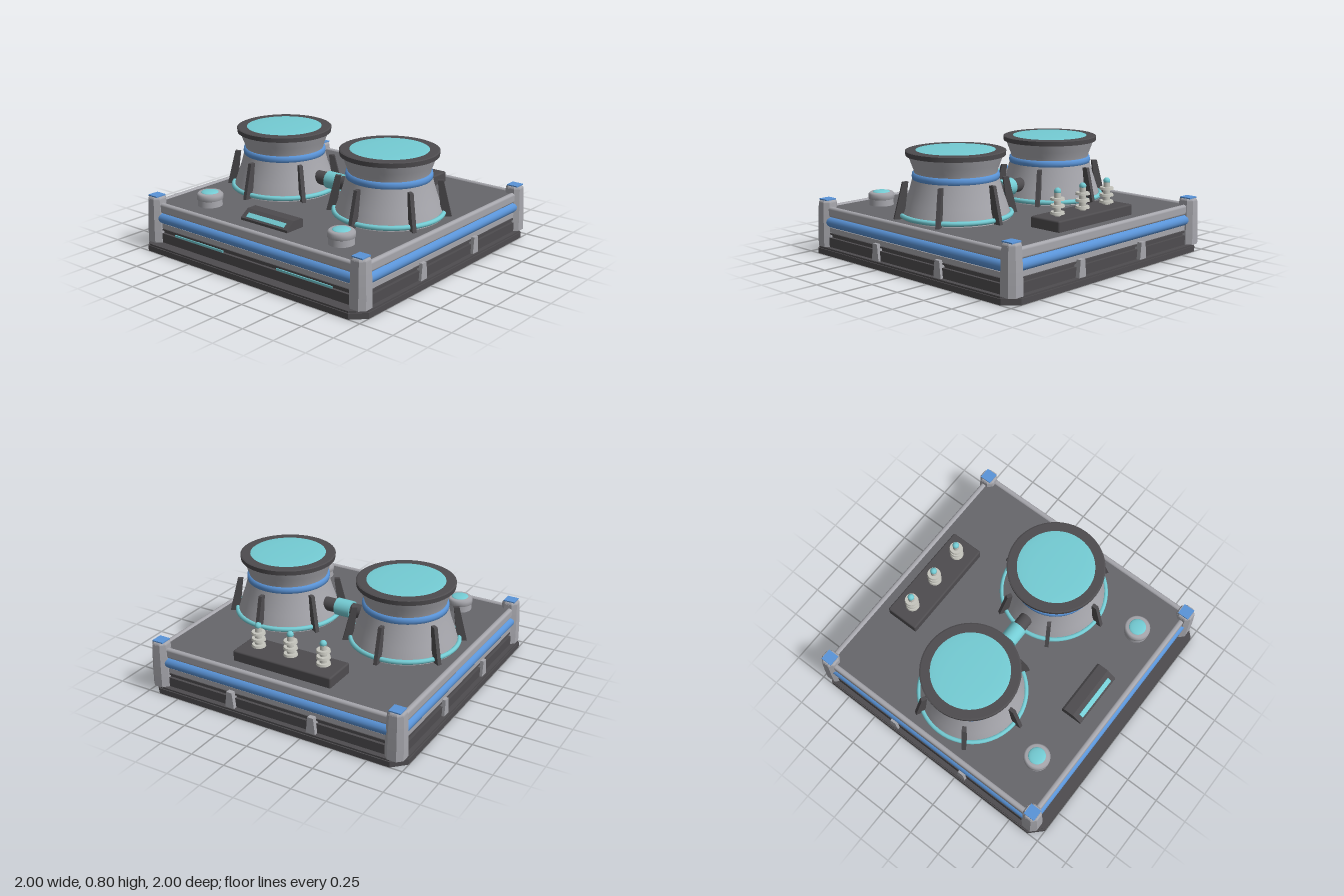
import * as THREE from 'three';
import { RoundedBoxGeometry } from 'three/addons/geometries/RoundedBoxGeometry.js';

const material = (name, color) => {
  const m = new THREE.MeshStandardMaterial({ color });
  m.name = name;
  return m;
};

export function createModel() {
  const dark = material('darkMetal', 0x4e4c4f);
  const deckGrey = material('deckGrey', 0x66666b);
  const light = material('lightMetal', 0xa6a6ac);
  const blue = material('blueBand', 0x5a94d8);
  const cyan = material('cyanGlow', 0x74ccd4);
  const ceramic = material('ceramic', 0xc6c6be);

  const root = new THREE.Group();
  const DECK = 0.33, ZC = -0.02;

  const add = (parent, name, geo, mat, x = 0, y = 0, z = 0) => {
    const m = new THREE.Mesh(geo, mat);
    m.name = name;
    m.position.set(x, y, z);
    parent.add(m);
    return m;
  };
  const group = (name, x = 0, y = 0, z = 0) => {
    const g = new THREE.Group();
    g.name = name;
    g.position.set(x, y, z);
    root.add(g);
    return g;
  };
  const box = (w, h, d) => new THREE.BoxGeometry(w, h, d);
  const cyl = (r1, r2, h, n = 32) => new THREE.CylinderGeometry(r1, r2, h, n);
  const lathe = (pts, n = 48) => new THREE.LatheGeometry(pts.map(p => new THREE.Vector2(...p)), n);
  // shallow dome standing on y = 0
  const dome = (r, h) => new THREE.SphereGeometry(r, 40, 10, 0, Math.PI * 2, 0, Math.PI / 2).scale(1, h / r, 1);

  // upright prism with cut corners; the top may be scaled for a taper
  const prism = (w, d, h, cut, taper = 1) => {
    const a = w / 2, b = d / 2, c = cut;
    const s = new THREE.Shape([[-a + c, -b], [a - c, -b], [a, -b + c], [a, b - c],
      [a - c, b], [-a + c, b], [-a, b - c], [-a, -b + c]].map(p => new THREE.Vector2(...p)));
    const g = new THREE.ExtrudeGeometry(s, { depth: h, bevelEnabled: false, steps: 4 }).rotateX(-Math.PI / 2);
    const p = g.attributes.position;
    for (let i = 0; i < p.count; i++) {
      const t = p.getY(i) / h, k = 1 + (taper - 1) * t * t;
      p.setX(i, p.getX(i) * k);
      p.setZ(i, p.getZ(i) * k);
    }
    g.computeVertexNormals();
    return g;
  };

  // base plate and stacked body
  add(root, 'basePlate', prism(2, 2, 0.04, 0.09), dark);
  add(root, 'basePlateTop', prism(1.985, 1.985, 0.012, 0.09), dark, 0, 0.04);
  add(root, 'lowerBody', box(1.92, 0.07, 1.87), dark, 0, 0.085, ZC);
  add(root, 'recess', box(1.88, 0.04, 1.83), dark, 0, 0.14, ZC);
  add(root, 'recessTrim', box(1.91, 0.012, 1.86), dark, 0, 0.146, ZC);
  add(root, 'lowerTrim', box(1.91, 0.035, 1.86), light, 0, 0.175, ZC);
  add(root, 'deck', box(1.88, 0.14, 1.83), deckGrey, 0, DECK - 0.07, ZC);

  // blue bands and rails on the four sides
  for (const s of [-1, 1]) {
    add(root, 'sideBand', cyl(0.04, 0.04, 1.76, 20), blue, s * 0.932, 0.23, ZC).rotation.x = Math.PI / 2;
    add(root, 'sideRail', new RoundedBoxGeometry(0.04, 0.075, 1.76, 3, 0.018), light, s * 0.935, 0.303, ZC);
    add(root, 'endBand', cyl(0.04, 0.04, 1.8, 20), blue, 0, 0.23, ZC + s * 0.912).rotation.z = Math.PI / 2;
    add(root, 'endRail', new RoundedBoxGeometry(1.8, 0.075, 0.04, 3, 0.018), light, 0, 0.303, ZC + s * 0.912);
    add(root, 'frontLightStrip', box(0.47, 0.015, 0.008), cyan, s * 0.48, 0.132, 0.916);
  }

  // corner posts with blue caps
  for (const x of [-0.92, 0.92]) for (const z of [-0.928, 0.888]) {
    const g = group('cornerPost', x, 0.05, z);
    add(g, 'post', prism(0.135, 0.135, 0.315, 0.035, 0.86), light);
    add(g, 'postShoulder', prism(0.115, 0.115, 0.018, 0.03, 0.85), light, 0, 0.315);
    add(g, 'postCap', box(0.085, 0.009, 0.085), blue, 0, 0.337);
  }

  // tapered ribs on the sides and back
  const ribShape = new THREE.Shape([[-0.035, 0], [0.035, 0], [0.022, 0.12], [-0.022, 0.12]].map(p => new THREE.Vector2(...p)));
  const ribGeo = new THREE.ExtrudeGeometry(ribShape, { depth: 0.05, bevelEnabled: false });
  const rib = (x, z, turn) => { add(root, 'rib', ribGeo, light, x, 0.05, z).rotation.y = turn; };
  for (const z of [-0.325, 0.295]) {
    rib(0.93, z, Math.PI / 2);
    rib(-0.93, z, -Math.PI / 2);
  }
  for (const x of [-0.32, 0.32]) rib(x, -0.935, Math.PI);

  // twin emitters
  const finShape = new THREE.Shape([[0.365, 0], [0.435, 0], [0.372, 0.255], [0.333, 0.255]].map(p => new THREE.Vector2(...p)));
  const finGeo = new THREE.ExtrudeGeometry(finShape, { depth: 0.028, bevelEnabled: false }).translate(0, 0, -0.014);
  for (const x of [-0.48, 0.48]) {
    const g = group('emitter', x, 0, 0.02);
    add(g, 'skirt', lathe([[0.38, DECK], [0.372, 0.36], [0.345, 0.44], [0.318, 0.52], [0.297, 0.6]]), light);
    add(g, 'waistBand', lathe([[0.285, 0.59], [0.298, 0.593], [0.302, 0.615], [0.298, 0.637], [0.28, 0.64]]), blue);
    add(g, 'neck', lathe([[0.283, 0.63], [0.29, 0.66], [0.305, 0.7], [0.325, 0.757]]), light);
    add(g, 'rimWall', cyl(0.345, 0.342, 0.032, 48), dark, 0, 0.771);
    add(g, 'rimTop', cyl(0.335, 0.345, 0.004, 48), dark, 0, 0.789);
    add(g, 'lens', dome(0.286, 0.014), cyan, 0, 0.787);
    add(g, 'footRing', new THREE.TorusGeometry(0.38, 0.017, 10, 56), cyan, 0, 0.354).rotation.x = Math.PI / 2;
    for (let i = 0; i < 6; i++)
      add(g, 'fin', finGeo, dark, 0, DECK, 0).rotation.y = Math.PI / 6 + i * Math.PI / 3;
  }

  // coupling between the emitters
  const coupling = group('coupling', 0, 0.46, 0.015);
  add(coupling, 'couplingPipe', cyl(0.05, 0.05, 0.34), dark).rotation.z = Math.PI / 2;
  add(coupling, 'couplingSleeve', cyl(0.062, 0.062, 0.124), cyan).rotation.z = Math.PI / 2;

  // front console, profile drawn in (z, y)
  const profile = new THREE.Shape([[0.61, DECK], [0.77, DECK], [0.77, 0.347], [0.7, 0.395], [0.625, 0.395], [0.61, 0.385]]
    .map(([z, y]) => new THREE.Vector2(-z, y)).reverse());
  const consoleGeo = new THREE.ExtrudeGeometry(profile, { depth: 0.42, bevelEnabled: false })
    .rotateY(Math.PI / 2).translate(-0.21, 0, 0);
  add(root, 'console', consoleGeo, dark);
  add(root, 'consoleStrip', box(0.34, 0.008, 0.036), cyan, 0, 0.366, 0.744).rotation.x = Math.atan2(0.048, 0.07);

  // round knobs
  for (const x of [-0.597, 0.597]) {
    const g = group('knob', x, 0, 0.68);
    add(g, 'knobBase', cyl(0.085, 0.088, 0.045), light, 0, DECK + 0.022);
    add(g, 'knobHead', lathe([[0.08, 0.372], [0.093, 0.378], [0.093, 0.41], [0.08, 0.424], [0, 0.424]], 32), light);
    add(g, 'knobLamp', dome(0.062, 0.014), cyan, 0, 0.422);
  }

  // rear panel with insulator masts
  add(root, 'rearPanel', new RoundedBoxGeometry(0.765, 0.085, 0.25, 2, 0.012), dark, 0, 0.362, -0.709);
  for (const x of [-0.255, 0, 0.255]) {
    const g = group('mast', x, 0, -0.707);
    add(g, 'mastCore', cyl(0.022, 0.026, 0.16, 16), ceramic, 0, 0.48);
    for (const y of [0.425, 0.472, 0.518])
      add(g, 'mastDisc', cyl(0.046, 0.05, 0.016, 20), ceramic, 0, y);
    add(g, 'mastTip', new THREE.SphereGeometry(0.024, 16, 12), cyan, 0, 0.568);
  }

  return root;
}
